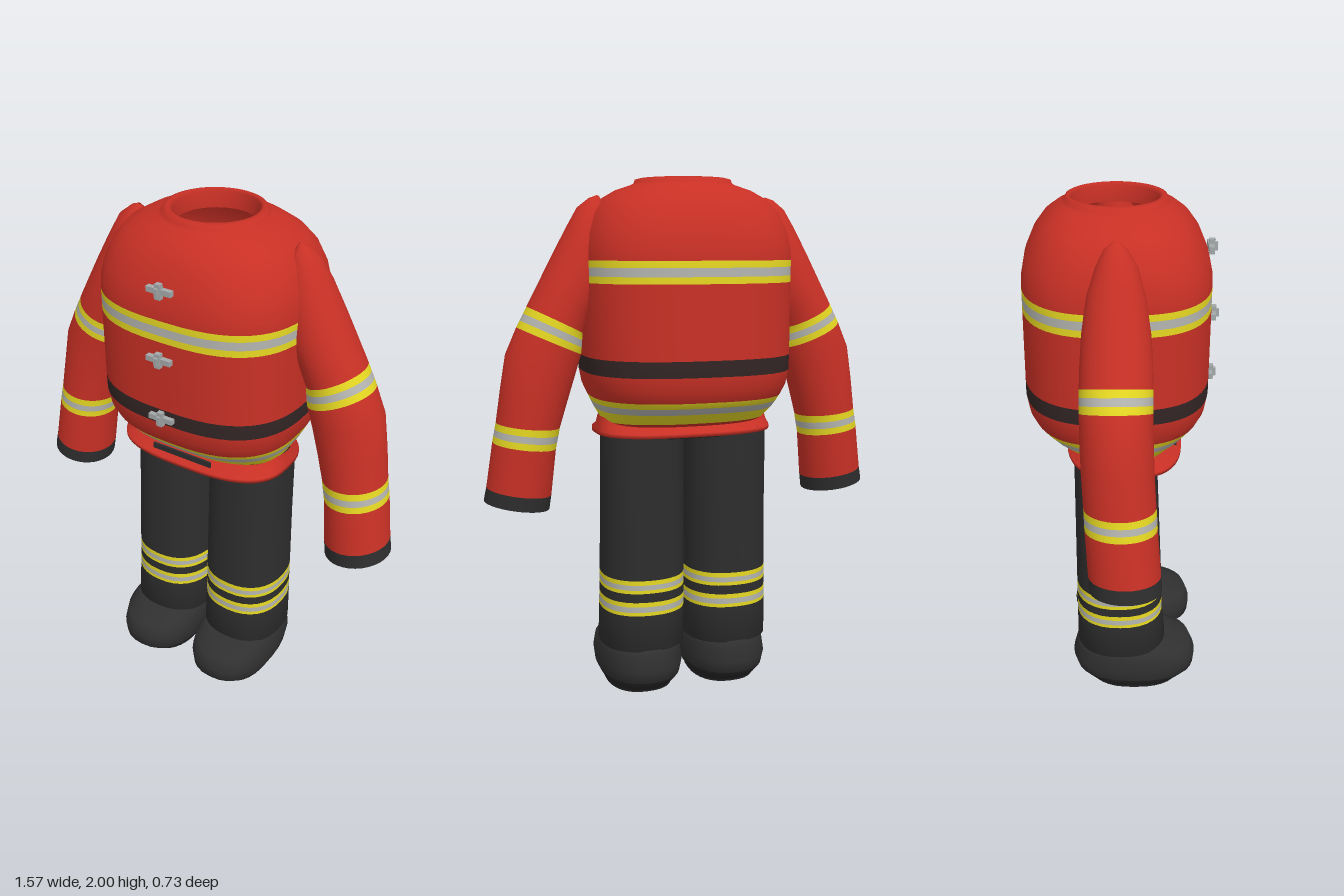
import * as THREE from 'three';

const mat = (name, color, side = THREE.FrontSide) => {
  const m = new THREE.MeshStandardMaterial({ color, side });
  m.name = name;
  return m;
};

// Section: a and b are opposite [x, y] ends, z0..z1 the depth, e the roundness (2 = ellipse),
// m the colour of the strip that leads to the next section.
const sec = (a, b, z0, z1, m, e = 2) => ({ a, b, z0, z1, m, e });
const level = (y, x0, x1, z0, z1, m, e) => sec([x1, y], [x0, y], z0, z1, m, e);

// Smooth skin through the sections, listed from top to bottom
function loft(name, sections, N = 40) {
  const pos = [], idx = [], mats = [], geo = new THREE.BufferGeometry();
  const pw = (v, e) => Math.sign(v) * Math.pow(Math.abs(v), 2 / e);
  sections.forEach((s, i) => {
    for (let j = 0; j < N; j++) {
      const t = (j / N) * Math.PI * 2;
      const c = pw(Math.cos(t), s.e) / 2, k = pw(Math.sin(t), s.e) / 2;
      pos.push((s.a[0] + s.b[0]) / 2 + (s.a[0] - s.b[0]) * c,
        (s.a[1] + s.b[1]) / 2 + (s.a[1] - s.b[1]) * c,
        (s.z0 + s.z1) / 2 + (s.z1 - s.z0) * k);
    }
    if (i === sections.length - 1) return;
    if (!mats.includes(s.m)) mats.push(s.m);
    geo.addGroup(idx.length, N * 6, mats.indexOf(s.m));
    for (let j = 0; j < N; j++) {
      const p = i * N + j, q = i * N + (j + 1) % N;
      idx.push(p, q, p + N, q, q + N, p + N);
    }
  });
  geo.setAttribute('position', new THREE.Float32BufferAttribute(pos, 3));
  geo.setIndex(idx);
  geo.computeVertexNormals();
  const mesh = new THREE.Mesh(geo, mats);
  mesh.name = name;
  return mesh;
}

// Same section scaled about its centre
function shrink(s, f, m = s.m) {
  const mix = (p, q) => p.map((v, i) => (v + q[i]) / 2 + (v - q[i]) / 2 * f);
  const cz = (s.z0 + s.z1) / 2, h = (s.z1 - s.z0) / 2 * f;
  return sec(mix(s.a, s.b), mix(s.b, s.a), cz - h, cz + h, m, s.e);
}
const mirror = s => sec([-s.b[0], s.b[1]], [-s.a[0], s.a[1]], s.z0, s.z1, s.m, s.e);

export function createModel() {
  const red = mat('red cloth', 0xc83025, THREE.DoubleSide);
  const yellow = mat('yellow tape', 0xe6d822);
  const grey = mat('silver tape', 0xb4b4b0);
  const belt = mat('dark belt', 0x332625);
  const black = mat('black cloth', 0x2d2d2d);
  const boot = mat('boot rubber', 0x303030);
  const sole = mat('sole', 0x242424);
  const metal = mat('clasp metal', 0xa3a8a8);
  const g = new THREE.Group();
  g.name = 'fireSuit';

  // Jacket body: up the inside of the collar, over it and down: [y, half width, back, front, colour, roundness]
  const body = [
    [1.93, 0.150, -0.17, 0.13, red, 2], [1.99, 0.150, -0.175, 0.135, red, 2],
    [2.0, 0.165, -0.185, 0.15, red, 2], [1.996, 0.182, -0.195, 0.165, red, 2],
    [1.982, 0.187, -0.20, 0.17, red, 2], [1.975, 0.20, -0.21, 0.18, red, 2.05],
    [1.955, 0.26, -0.24, 0.21, red, 2.2], [1.92, 0.32, -0.28, 0.25, red, 2.35],
    [1.87, 0.36, -0.315, 0.285, red, 2.5], [1.80, 0.388, -0.345, 0.315, red, 2.6],
    [1.74, 0.398, -0.357, 0.328, red, 2.7], [1.70, 0.40, -0.36, 0.33, yellow, 2.7],
    [1.675, 0.40, -0.36, 0.33, grey, 2.7], [1.643, 0.40, -0.36, 0.33, yellow, 2.7],
    [1.618, 0.40, -0.36, 0.33, red, 2.7], [1.345, 0.40, -0.36, 0.33, belt, 2.7],
    [1.285, 0.398, -0.36, 0.33, red, 2.7], [1.23, 0.388, -0.35, 0.32, red, 2.7],
    [1.188, 0.37, -0.33, 0.30, yellow, 2.65], [1.165, 0.36, -0.31, 0.28, grey, 2.6],
    [1.138, 0.347, -0.28, 0.255, yellow, 2.6], [1.092, 0.32, -0.21, 0.20, red, 2.5],
    [1.075, 0.31, -0.17, 0.17, red, 2.5],
  ];
  g.add(loft('jacketBody', body.map(([y, w, zb, zf, m, e]) => level(y, -w, w, zb, zf, m, e)), 56));

  // Flared hem with its underside
  g.add(loft('jacketHem', [
    level(1.108, -0.335, 0.335, -0.15, 0.15, red, 2.6), level(1.075, -0.342, 0.342, -0.17, 0.175, red, 2.6),
    level(1.055, -0.35, 0.35, -0.21, 0.235, red, 2.8), level(1.04, -0.35, 0.35, -0.21, 0.235, red, 2.8),
    level(1.045, -0.30, 0.30, -0.14, 0.10, red, 2.6),
  ], 48));

  // Gap at the front of the hem showing the trousers
  const gap = new THREE.Mesh(new THREE.BoxGeometry(0.26, 0.022, 0.009), black);
  gap.name = 'frontGap';
  gap.position.set(-0.01, 1.077, 0.207);
  g.add(gap);

  // Three clasps: bar, upright and raised knob
  for (const [y, z] of [[1.81, 0.325], [1.555, 0.34], [1.315, 0.338]]) {
    const clasp = new THREE.Group();
    clasp.name = 'clasp';
    for (const [w, h, d, dz] of [[0.1, 0.02, 0.02, 0], [0.022, 0.056, 0.02, 0.005], [0.014, 0.03, 0.02, 0.015]]) {
      const part = new THREE.Mesh(new THREE.BoxGeometry(w, h, d), metal);
      part.name = 'claspPart';
      part.position.z = dz;
      clasp.add(part);
    }
    clasp.position.set(-0.005, y, z);
    g.add(clasp);
  }

  // Sleeve: outer point, inner point, back, front, colour
  const sleeve = [
    sec([0.334, 1.936], [0.326, 1.932], -0.024, -0.016, red),
    sec([0.365, 1.925], [0.30, 1.885], -0.06, 0.02, red),
    sec([0.408, 1.892], [0.29, 1.80], -0.09, 0.055, red),
    sec([0.45, 1.82], [0.30, 1.69], -0.12, 0.08, red),
    sec([0.51, 1.71], [0.33, 1.57], -0.137, 0.097, red),
    sec([0.565, 1.605], [0.37, 1.50], -0.143, 0.102, red),
    sec([0.605, 1.53], [0.40, 1.43], -0.146, 0.103, yellow),
    sec([0.618, 1.505], [0.402, 1.403], -0.147, 0.103, grey),
    sec([0.632, 1.48], [0.404, 1.376], -0.147, 0.103, yellow),
    sec([0.645, 1.455], [0.407, 1.35], -0.147, 0.103, red),
    sec([0.69, 1.355], [0.432, 1.27], -0.146, 0.104, red),
    sec([0.713, 1.22], [0.463, 1.17], -0.142, 0.108, red),
    sec([0.731, 1.1], [0.492, 1.073], -0.136, 0.115, yellow),
    sec([0.736, 1.075], [0.497, 1.045], -0.135, 0.117, grey),
    sec([0.741, 1.05], [0.503, 1.018], -0.134, 0.119, yellow),
    sec([0.746, 1.025], [0.508, 0.992], -0.133, 0.12, red),
    sec([0.773, 0.85], [0.528, 0.81], -0.123, 0.134, black),
    sec([0.784, 0.797], [0.536, 0.755], -0.12, 0.138, black),
  ];
  const cuff = sleeve[sleeve.length - 1], wrist = sleeve[sleeve.length - 2];
  const opening = [cuff, shrink(cuff, 0.84), shrink(wrist, 0.84, red), shrink(sleeve[15], 0.82, red), shrink(sleeve[15], 0.01)];
  for (const flip of [s => s, mirror]) {
    g.add(loft('sleeve', sleeve.map(flip), 32));
    g.add(loft('cuffOpening', opening.map(flip), 32));
  }

  // Trouser waist, closed on top
  const waist = [level(1.09, -0.31, 0.31, -0.165, 0.13, black, 2.6), level(1.03, -0.32, 0.32, -0.175, 0.13, black, 2.6)];
  g.add(loft('trouserWaist', [shrink(waist[0], 0.01), ...waist, shrink(waist[1], 0.01)]));

  // Trouser leg rings: [y, inner x, outer x, back, front, colour]
  const leg = [
    [1.06, 0.008, 0.33, -0.18, 0.135, black], [0.75, 0.008, 0.332, -0.18, 0.15, black],
    [0.48, 0.007, 0.337, -0.18, 0.163, yellow], [0.462, 0.007, 0.337, -0.18, 0.163, grey],
    [0.442, 0.007, 0.337, -0.18, 0.164, yellow], [0.428, 0.006, 0.338, -0.18, 0.164, black],
    [0.392, 0.006, 0.338, -0.18, 0.166, yellow], [0.374, 0.006, 0.339, -0.18, 0.167, grey],
    [0.352, 0.006, 0.34, -0.18, 0.167, yellow], [0.338, 0.006, 0.34, -0.18, 0.168, black],
    [0.19, 0.006, 0.343, -0.18, 0.182, black], [0.19, 0.06, 0.29, -0.12, 0.12, black],
  ];
  // Boot rings from ankle to sole
  const shoe = [
    [0.205, 0.05, 0.30, -0.15, 0.15, boot], [0.195, 0.025, 0.325, -0.18, 0.20, boot],
    [0.165, 0.015, 0.34, -0.185, 0.285, boot], [0.11, 0.008, 0.347, -0.2, 0.308, boot],
    [0.06, 0.015, 0.34, -0.185, 0.303, sole], [0.03, 0.03, 0.325, -0.155, 0.27, sole],
    [0.01, 0.045, 0.31, -0.125, 0.24, sole],
  ];
  const rings = (list, e) => list.map(([y, x0, x1, z0, z1, m]) => level(y, x0, x1, z0, z1, m, e));
  const shoeRings = rings(shoe, 2.4), bottom = shoeRings[shoeRings.length - 1];
  const base = [bottom, shrink(bottom, 0.01)].map(s => ({ ...s, a: [s.a[0], 0], b: [s.b[0], 0] }));
  for (const flip of [s => s, mirror]) {
    g.add(loft('trouserLeg', rings(leg, 2.3).map(flip), 32));
    g.add(loft('boot', [...shoeRings, base[0]].map(flip), 32));
    g.add(loft('bootSole', base.map(flip), 32));
  }
  return g;
}
